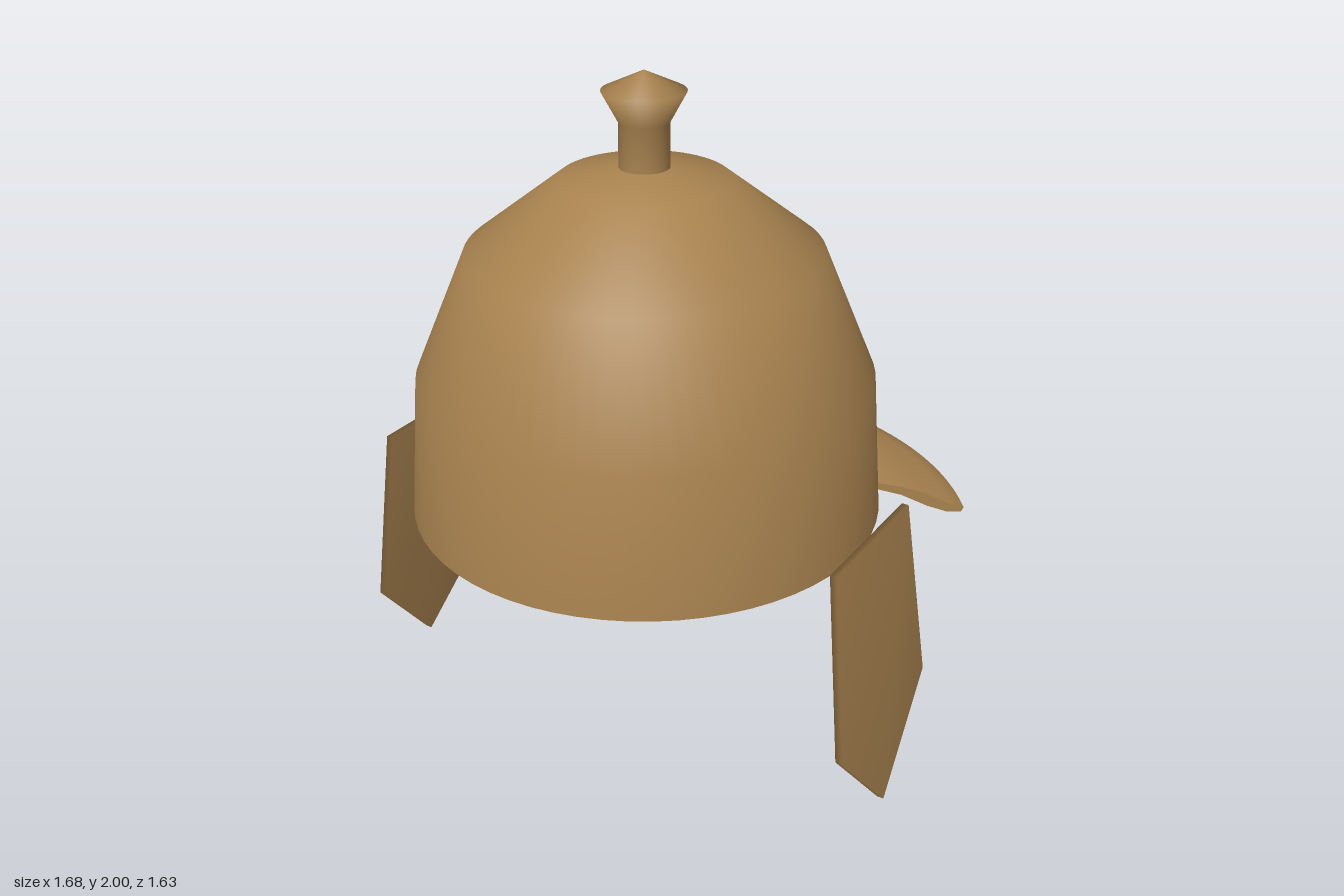
import * as THREE from 'three';
import { mergeVertices } from 'three/addons/utils/BufferGeometryUtils.js';

const CENTRE_Z = 0.135; // axis of the dome and neck guard
const v2 = (list) => list.map(([x, y]) => new THREE.Vector2(x, y));

export function createModel() {
  const group = new THREE.Group();
  const bronze = new THREE.MeshStandardMaterial({ color: 0xa8824f, side: THREE.DoubleSide });
  bronze.name = 'bronze';

  const add = (name, geometry, parent = group) => {
    const mesh = new THREE.Mesh(geometry, bronze);
    mesh.name = name;
    parent.add(mesh);
    return mesh;
  };

  // Hollow dome, open at the bottom
  const dome = add('dome', new THREE.LatheGeometry(v2([
    [0.68, 0.73], [0.65, 1.14], [0.5, 1.5], [0.237, 1.705], [0.07, 1.735],
  ]), 64));
  dome.position.z = CENTRE_Z;

  // Post with flared finial
  const finial = add('finial', new THREE.LatheGeometry(v2([
    [0.07, 1.735], [0.07, 1.86], [0.116, 1.945], [0, 2],
  ]), 32));
  finial.position.z = CENTRE_Z;

  // Curved neck guard: a closed profile swept around the back
  const neckGuard = new THREE.Group();
  neckGuard.name = 'neckGuard';
  neckGuard.position.z = CENTRE_Z;
  group.add(neckGuard);
  const profile = v2([
    [0.675, 0.72], [0.76, 0.695], [0.84, 0.655], [0.9, 0.633], [0.945, 0.63],
    [0.953, 0.645], [0.905, 0.662], [0.83, 0.7], [0.76, 0.722], [0.675, 0.74],
  ]);
  const half = 0.953;
  add('neckGuardSweep', new THREE.LatheGeometry(
    [...profile, profile[0].clone()], 40, Math.PI - half, 2 * half), neckGuard);
  for (const side of [-1, 1]) {
    const cap = add('neckGuardEnd', new THREE.ShapeGeometry(new THREE.Shape(profile)), neckGuard);
    cap.rotation.y = Math.PI / 2 + side * half;
  }

  // Pointed cheek plates, leaning outward towards the bottom
  const outline = new THREE.Shape(v2([
    [-0.04, 0.83], [-0.097, 0.27], [0.197, 0], [0.434, 0.27], [0.405, 0.83],
  ]));
  let plate = new THREE.ExtrudeGeometry(outline, { depth: 0.02, bevelEnabled: false });
  plate.rotateY(-Math.PI / 2).translate(0.756, 0, 0);
  const pos = plate.attributes.position;
  for (let i = 0; i < pos.count; i++) {
    pos.setX(i, pos.getX(i) + (0.83 - pos.getY(i)) * 0.102);
  }
  plate.deleteAttribute('normal');
  plate.deleteAttribute('uv');
  plate = mergeVertices(plate);
  plate.computeVertexNormals();
  add('leftCheekPlate', plate);
  add('rightCheekPlate', plate).scale.x = -1;

  return group;
}
